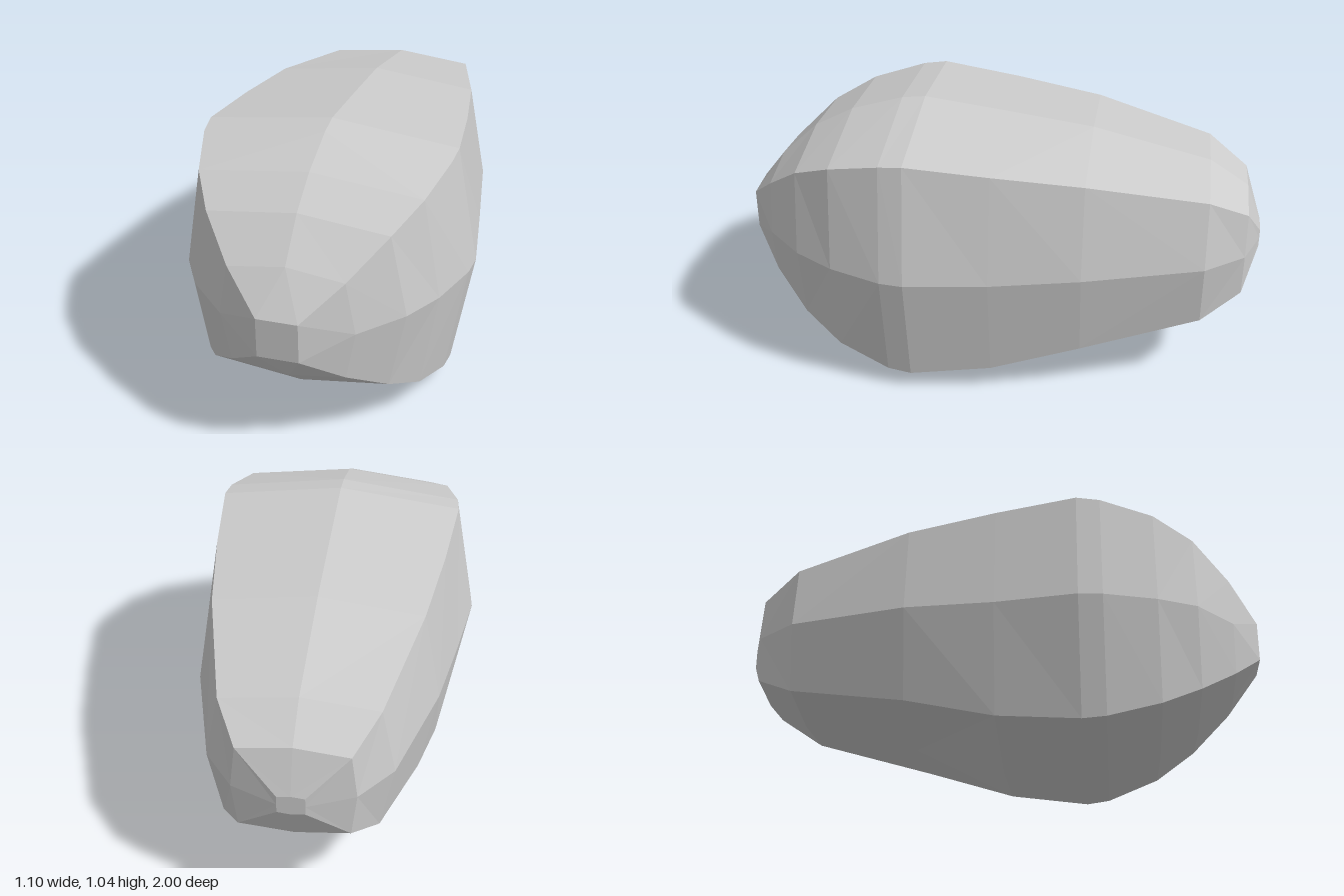
import * as THREE from 'three';

// Each ring: z, corner half-width, side half-width, corner top, crown top, side height, corner bottom, keel bottom
const RINGS = [
  [1.0, 0.075, 0.075, 0.61, 0.61, 0.533, 0.455, 0.455],
  [0.89, 0.21, 0.245, 0.73, 0.76, 0.53, 0.34, 0.31],
  [0.75, 0.33, 0.39, 0.85, 0.89, 0.537, 0.23, 0.185],
  [0.6, 0.41, 0.473, 0.92, 0.97, 0.53, 0.145, 0.09],
  [0.4, 0.462, 0.54, 0.97, 1.03, 0.525, 0.08, 0.015],
  [0.31, 0.47, 0.55, 0.98, 1.04, 0.525, 0.07, 0.0],
  [0.0, 0.44, 0.507, 0.945, 1.0, 0.525, 0.103, 0.045],
  [-0.34, 0.392, 0.457, 0.903, 0.953, 0.543, 0.195, 0.15],
  [-0.79, 0.285, 0.335, 0.81, 0.843, 0.552, 0.295, 0.265],
  [-0.94, 0.2, 0.22, 0.722, 0.745, 0.552, 0.38, 0.36],
  [-1.0, 0.05, 0.05, 0.575, 0.58, 0.54, 0.505, 0.5],
];
const SIDES = 8;

// Eight-cornered section, counterclockwise from the front
function section([z, a, b, top, crown, mid, bottom, keel]) {
  return [
    [a, top, z], [0, crown, z], [-a, top, z], [-b, mid, z],
    [-a, bottom, z], [0, keel, z], [a, bottom, z], [b, mid, z],
  ];
}

function loft(rings) {
  const points = rings.flatMap(section);
  const index = [];
  const last = (rings.length - 1) * SIDES;
  for (let r = 0; r < rings.length - 1; r++) {
    for (let s = 0; s < SIDES; s++) {
      const next = (s + 1) % SIDES;
      const a = r * SIDES + s, d = r * SIDES + next;
      const b = a + SIDES, c = d + SIDES;
      // Mirror the diagonals left to right
      if (s % 2) index.push(a, b, d, b, c, d);
      else index.push(a, b, c, a, c, d);
    }
  }
  // Flat nose and tail caps
  for (let s = 1; s < SIDES - 1; s++) {
    index.push(0, s, s + 1);
    index.push(last, last + s + 1, last + s);
  }
  const geometry = new THREE.BufferGeometry();
  geometry.setAttribute('position', new THREE.Float32BufferAttribute(points.flat(), 3));
  geometry.setIndex(index);
  const faceted = geometry.toNonIndexed();
  faceted.computeVertexNormals();
  return faceted;
}

export function createModel() {
  const group = new THREE.Group();
  group.name = 'facetedPod';
  const paleGrey = new THREE.MeshStandardMaterial({ color: 0xcccccc });
  paleGrey.name = 'paleGrey';
  paleGrey.flatShading = true;

  // Tapered hull
  const hull = new THREE.Mesh(loft(RINGS), paleGrey);
  hull.name = 'hull';
  group.add(hull);
  return group;
}
